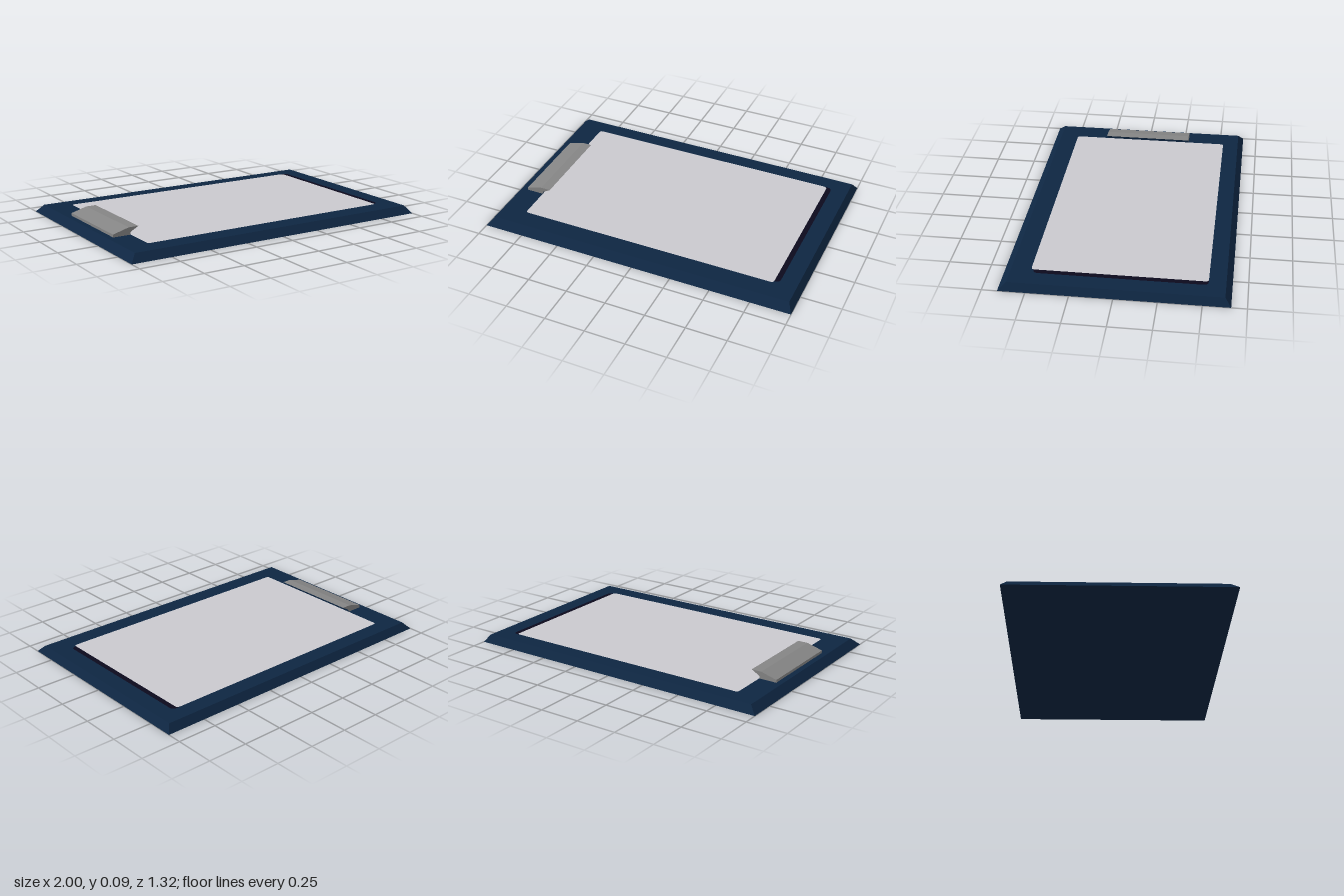
import * as THREE from 'three';

const TOP = 0.045;

// Flat rounded rectangle lying in the xz plane
function sheet(x0, x1, z0, z1, r, y, material, name) {
  const s = new THREE.Shape();
  s.moveTo(x0 + r, -z1);
  s.lineTo(x1 - r, -z1);
  s.quadraticCurveTo(x1, -z1, x1, -z1 + r);
  s.lineTo(x1, -z0 - r);
  s.quadraticCurveTo(x1, -z0, x1 - r, -z0);
  s.lineTo(x0 + r, -z0);
  s.quadraticCurveTo(x0, -z0, x0, -z0 - r);
  s.lineTo(x0, -z1 + r);
  s.quadraticCurveTo(x0, -z1, x0 + r, -z1);
  const mesh = new THREE.Mesh(new THREE.ShapeGeometry(s, 4).rotateX(-Math.PI / 2), material);
  mesh.position.y = y;
  mesh.name = name;
  return mesh;
}

export function createModel() {
  const group = new THREE.Group();
  const make = (name, color) => {
    const m = new THREE.MeshStandardMaterial({ color });
    m.name = name;
    return m;
  };
  const navy = make('navy board', 0x0e2642);
  const paperGrey = make('paper', 0xcac9ce);
  const shadow = make('dark edge', 0x0b091c);
  const metal = make('metal grey', 0x858585);

  // Board: a box whose top is drawn in to bevel the sides
  const boardGeo = new THREE.BoxGeometry(2, TOP, 1.32).translate(0, TOP / 2, 0);
  const p = boardGeo.attributes.position;
  for (let i = 0; i < p.count; i++) {
    if (p.getY(i) < TOP / 2) continue;
    p.setX(i, p.getX(i) < 0 ? -0.955 : 0.97);
    p.setZ(i, p.getZ(i) < 0 ? -0.625 : 0.612);
  }
  boardGeo.computeVertexNormals();
  const board = new THREE.Mesh(boardGeo, navy);
  board.name = 'board';
  group.add(board);

  // Paper and the dark line along its lower edge
  group.add(sheet(0.79, 0.865, -0.525, 0.48, 0.03, TOP + 0.001, shadow, 'paperEdge'));
  group.add(sheet(-0.81, 0.833, -0.525, 0.495, 0.02, TOP + 0.002, paperGrey, 'paper'));

  // Clip: wedge profile with a raised lip, extruded along z
  const profile = [[-0.92, TOP], [-0.81, TOP], [-0.81, 0.06], [-0.757, 0.09], [-0.82, 0.09], [-0.92, 0.062]];
  const clipGeo = new THREE.ExtrudeGeometry(
    new THREE.Shape(profile.map(([x, y]) => new THREE.Vector2(x, y))),
    { depth: 0.565, bevelEnabled: false }
  ).translate(0, 0, -0.284);

  // Faces under the lip take the board colour
  clipGeo.clearGroups();
  const n = clipGeo.attributes.normal;
  for (let i = 0; i < n.count; i += 3) clipGeo.addGroup(i, 3, n.getX(i) > 0.3 ? 1 : 0);
  const clip = new THREE.Mesh(clipGeo, [metal, navy]);
  clip.name = 'clip';
  group.add(clip);

  return group;
}
